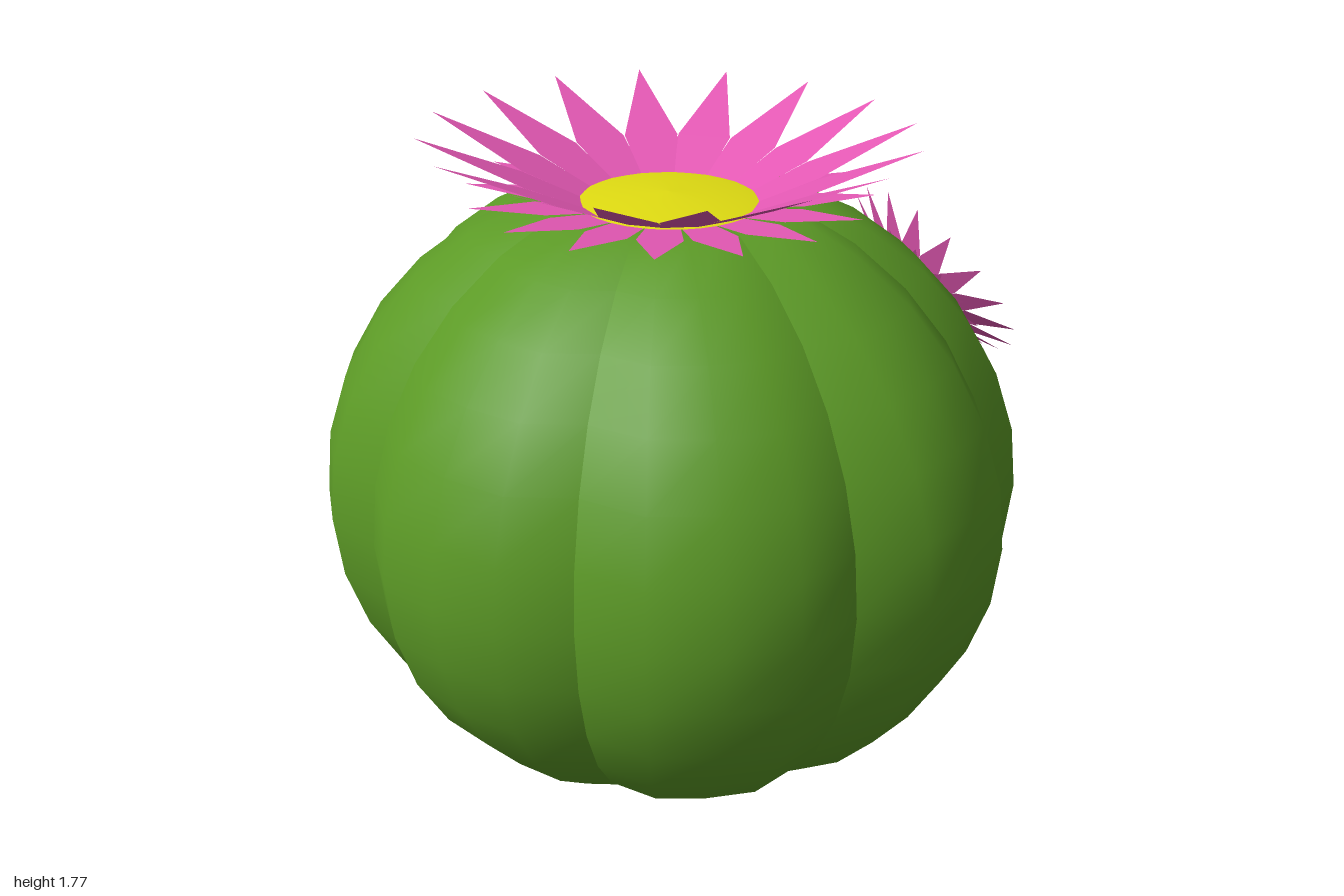
import * as THREE from 'three';

const material = (name, color, side = THREE.FrontSide) => {
  const m = new THREE.MeshStandardMaterial({ color, side });
  m.name = name;
  return m;
};

const LOBES = 8, SEGS = 4;
const lobeAngle = (Math.PI * 2) / LOBES;
// Radius factor across one lobe: pinched at both grooves
const across = (i) => (i === 0 || i === SEGS ? 0.91 : 0.976);

// Body profile from base to sunken crown: [radius factor, height]
const rows = [];
for (let k = -6; k <= 6; k++) {
  const a = (k * Math.PI) / 16;
  rows.push([Math.cos(a), k === -6 ? 0 : 0.8 + 0.86 * Math.sin(a)]);
}
rows.push([0.2, 1.58], [0, 1.55]);

// One bulging rib; normals stay smooth inside it and crease at the grooves
function ribGeometry() {
  const pos = [], idx = [];
  for (const [r, y] of rows) {
    for (let i = 0; i <= SEGS; i++) {
      const a = (i / SEGS) * lobeAngle, d = r * across(i);
      pos.push(d * Math.sin(a), y, d * Math.cos(a));
    }
  }
  const w = SEGS + 1;
  for (let j = 0; j < rows.length - 1; j++) {
    for (let i = 0; i < SEGS; i++) {
      const a = j * w + i, b = a + 1, c = a + w, d = c + 1;
      idx.push(a, b, d);
      if (j < rows.length - 2) idx.push(a, d, c);
      else idx.push(a, d, c);
    }
  }
  const g = new THREE.BufferGeometry();
  g.setAttribute('position', new THREE.Float32BufferAttribute(pos, 3));
  g.setIndex(idx);
  g.computeVertexNormals();
  return g;
}

// Flat lobed underside
function baseGeometry() {
  const pts = [];
  for (let n = 0; n < LOBES * SEGS; n++) {
    const a = (n / SEGS) * lobeAngle, d = rows[0][0] * across(n % SEGS);
    pts.push(new THREE.Vector2(d * Math.sin(a), d * Math.cos(a)));
  }
  return new THREE.ShapeGeometry(new THREE.Shape(pts)).rotateX(Math.PI / 2);
}

// Pointed petal along +z, rising from y0 at r0 to y1 at r1
function petalGeometry(r0, y0, r1, y1, rWide, halfBase, halfWide) {
  const at = (r) => y0 + ((y1 - y0) * (r - r0)) / (r1 - r0);
  const g = new THREE.BufferGeometry();
  g.setAttribute('position', new THREE.Float32BufferAttribute([
    -halfBase, y0, r0, halfBase, y0, r0,
    halfWide, at(rWide), rWide, 0, y1, r1, -halfWide, at(rWide), rWide,
  ], 3));
  g.setIndex([0, 2, 1, 0, 4, 2, 4, 3, 2]);
  g.computeVertexNormals();
  // face upward
  if (g.attributes.normal.getY(0) < 0) {
    g.setIndex([0, 1, 2, 0, 2, 4, 4, 2, 3]);
    g.computeVertexNormals();
  }
  return g;
}

// Flower opening along +y, with its base plane at y = 0
function createFlower(name, pink, yellow) {
  const flower = new THREE.Group();
  flower.name = name;
  const outer = petalGeometry(0.19, 0.0, 0.67, 0.2, 0.39, 0.04, 0.076);
  const inner = petalGeometry(0.19, 0.012, 0.55, 0.045, 0.36, 0.04, 0.06);
  const COUNT = 16;
  for (let i = 0; i < COUNT; i++) {
    const long = new THREE.Mesh(outer, pink);
    long.name = 'longPetal';
    long.rotation.y = (i / COUNT) * Math.PI * 2;
    const short = new THREE.Mesh(inner, pink);
    short.name = 'shortPetal';
    short.rotation.y = ((i + 0.5) / COUNT) * Math.PI * 2;
    flower.add(long, short);
  }
  // Shallow domed centre
  const dome = [[0.25, 0.018], [0.2, 0.026], [0.1, 0.036], [0, 0.04]];
  const centre = new THREE.Mesh(
    new THREE.LatheGeometry(dome.map(([x, y]) => new THREE.Vector2(x, y)), 32), yellow);
  centre.name = 'flowerCentre';
  flower.add(centre);
  return flower;
}

export function createModel() {
  const green = material('cactus green', 0x5c9a26);
  const pink = material('petal pink', 0xe458b4, THREE.DoubleSide);
  const yellow = material('flower yellow', 0xe0dc12, THREE.DoubleSide);

  const model = new THREE.Group();
  model.name = 'floweringCactus';

  // Ribbed body
  const body = new THREE.Group();
  body.name = 'body';
  const rib = ribGeometry();
  for (let i = 0; i < LOBES; i++) {
    const mesh = new THREE.Mesh(rib, green);
    mesh.name = 'rib';
    mesh.rotation.y = i * lobeAngle;
    body.add(mesh);
  }
  const base = new THREE.Mesh(baseGeometry(), green);
  base.name = 'base';
  body.add(base);
  body.position.x = -0.085;
  body.scale.x = 0.957;
  model.add(body);

  // Large flower on the crown
  const crown = createFlower('crownFlower', pink, yellow);
  crown.position.set(-0.085, 1.57, 0);
  crown.scale.x = 0.957;
  model.add(crown);

  // Small flower on the left shoulder
  const side = createFlower('sideFlower', pink, yellow);
  side.position.set(0.717, 1.184, 0);
  side.rotation.z = -0.97;
  side.scale.setScalar(0.475);
  model.add(side);

  return model;
}
